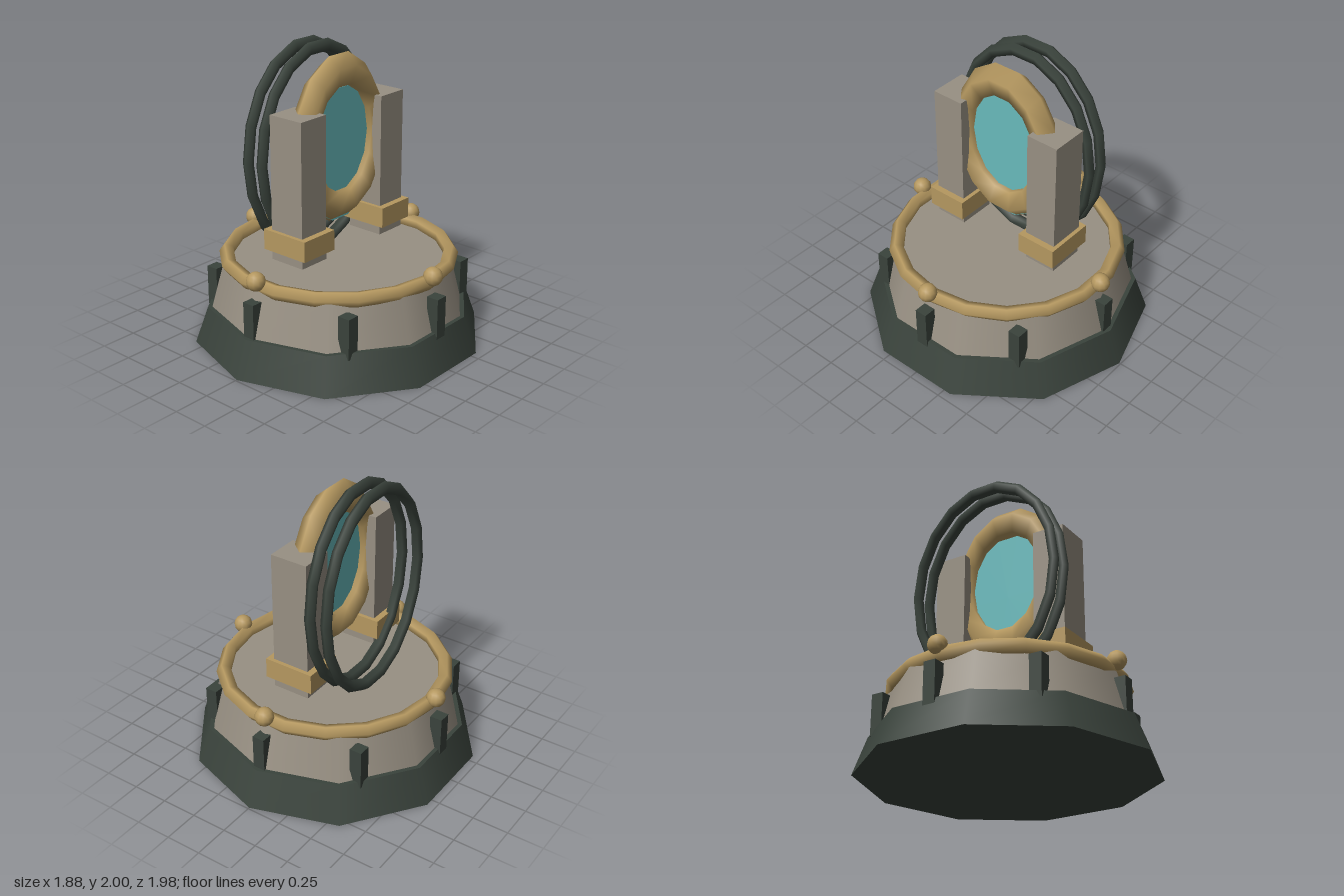
import * as THREE from 'three';

const mat = (name, color) => {
  const m = new THREE.MeshStandardMaterial({ color });
  m.name = name;
  return m;
};

export function createModel() {
  const group = new THREE.Group();
  const dark = mat('dark green metal', 0x3a433c);
  const stone = mat('warm grey stone', 0x989083);
  const brass = mat('brass', 0xb59860);
  const glass = mat('teal glass', 0x68babc);

  const add = (name, geometry, material, x = 0, y = 0, z = 0) => {
    const mesh = new THREE.Mesh(geometry, material);
    mesh.name = name;
    mesh.position.set(x, y, z);
    group.add(mesh);
    return mesh;
  };

  // Upright oval hoop facing along x
  const hoop = (radius, tube, segments, sx, sz) =>
    new THREE.TorusGeometry(radius, tube, 5, segments).rotateY(Math.PI / 2).scale(sx, 1, sz);

  // Ten-sided stepped base
  add('base', new THREE.CylinderGeometry(0.9, 0.99, 0.25, 10), dark, 0, 0.125, 0);
  add('drum', new THREE.CylinderGeometry(0.788, 0.87, 0.3, 10), stone, 0, 0.4, 0);
  add('rimRing', new THREE.TorusGeometry(0.757, 0.0526, 5, 18).rotateX(Math.PI / 2), brass, 0, 0.57, 0);

  // Buttress blocks all round, with a ball above every second one
  for (let i = 0; i < 8; i++) {
    const a = (i * Math.PI) / 4;
    const x = Math.sin(a), z = Math.cos(a);
    add('buttress', new THREE.BoxGeometry(0.086, 0.28, 0.086), dark, x * 0.827, 0.35, z * 0.827);
    if (i % 2 === 0) add('rimBall', new THREE.SphereGeometry(0.064, 12, 8), brass, x * 0.795, 0.62, z * 0.795);
  }

  // Pillars with brass bands
  for (const side of [-1, 1]) {
    add('pillar', new THREE.BoxGeometry(0.265, 0.98, 0.23), stone, 0, 1.132, side * 0.39);
    add('pillarBand', new THREE.BoxGeometry(0.355, 0.14, 0.285), brass, 0, 0.78, side * 0.39);
  }

  // Brass hoop and glass pane between the pillars
  add('mainHoop', hoop(0.46, 0.115, 14, 0.814, 0.74), brass, 0, 1.38, 0);
  const pane = new THREE.CylinderGeometry(0.461, 0.461, 0.03, 14).rotateZ(Math.PI / 2).scale(1, 1, 0.76);
  add('glassPane', pane, glass, 0, 1.27, 0);

  // Pair of thin dark hoops beside the pillars
  for (const x of [-0.302, -0.18]) {
    add('outerHoop', hoop(0.697, 0.044, 18, 0.89, 0.77), dark, x, 1.27, 0);
  }

  return group;
}
